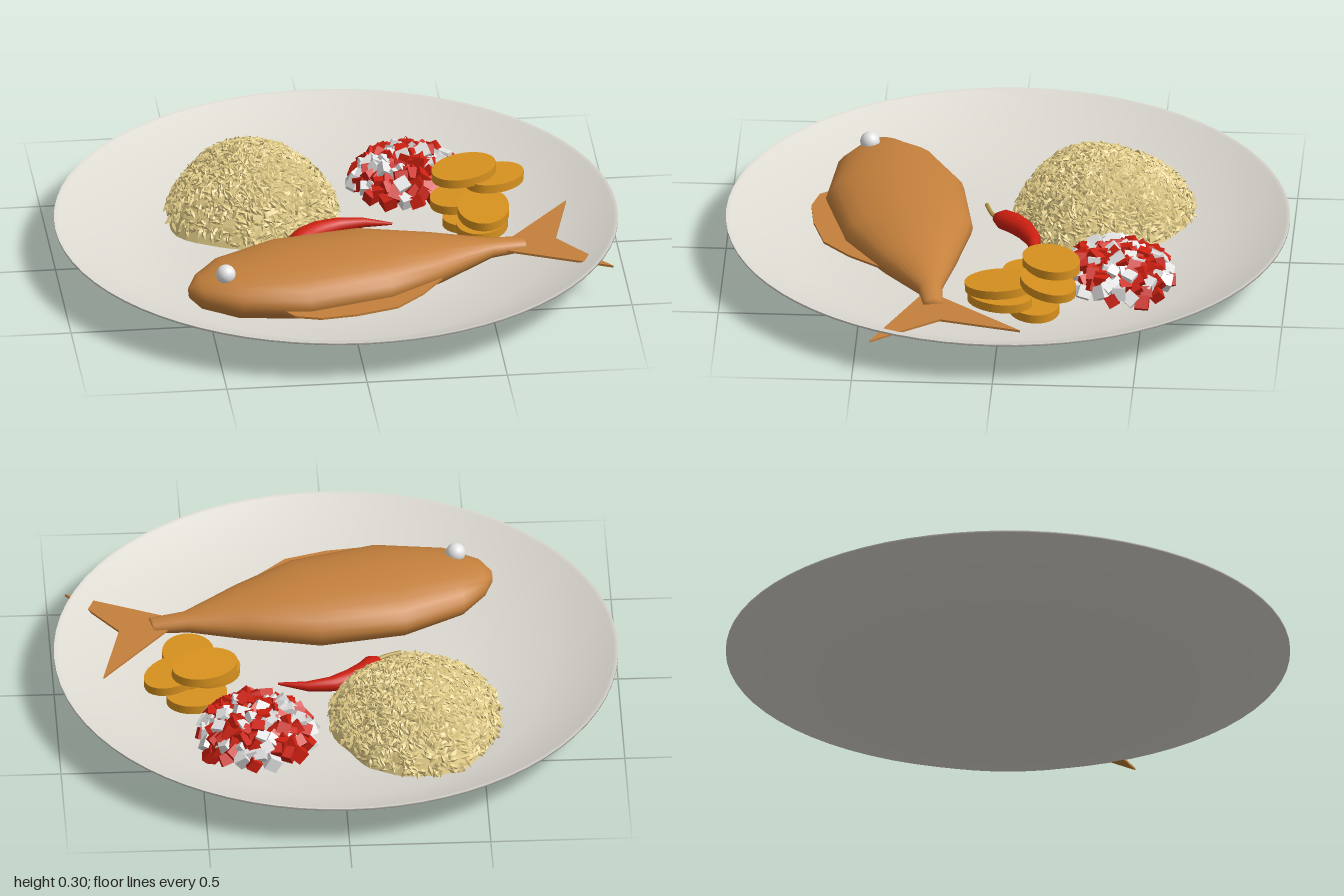
import * as THREE from 'three';
import { mergeGeometries } from 'three/addons/utils/BufferGeometryUtils.js';

const makeMat = (name, color, extra = {}) => {
  const m = new THREE.MeshStandardMaterial({ color, ...extra });
  m.name = name;
  return m;
};

function seeded(seed) {
  return () => {
    seed = (seed * 1664525 + 1013904223) % 4294967296;
    return seed / 4294967296;
  };
}

// Skin over elliptical sections [ax, az, bx, bz, halfHeight] running roughly along +x
function loft(sections, y, sides = 18) {
  const pos = [], idx = [];
  const mid = ([ax, az, bx, bz]) => [(ax + bx) / 2, (az + bz) / 2];
  const point = s => [...mid(s), ...mid(s), 0];
  const rings = [point(sections[0]), ...sections, point(sections.at(-1))]
    .map(s => s.length === 5 ? s : [s[0], s[1], s[2], s[3], 0]);
  rings.forEach(([ax, az, bx, bz, h], i) => {
    for (let j = 0; j < sides; j++) {
      const t = j / sides * Math.PI * 2, c = Math.cos(t) / 2;
      pos.push((ax + bx) / 2 + (bx - ax) * c, y + h * Math.sin(t), (az + bz) / 2 + (bz - az) * c);
      if (i === rings.length - 1) continue;
      const k = (j + 1) % sides, a = i * sides, b = a + sides;
      idx.push(a + j, b + j, a + k, b + j, b + k, a + k);
    }
  });
  const g = new THREE.BufferGeometry();
  g.setAttribute('position', new THREE.Float32BufferAttribute(pos, 3));
  g.setIndex(idx);
  g.computeVertexNormals();
  return g;
}

// Thin horizontal plate from an (x, z) outline
function flatPlate(points, y) {
  const shape = new THREE.Shape(points.map(p => new THREE.Vector2(...p)));
  const g = new THREE.ExtrudeGeometry(shape, { depth: 0.008, bevelEnabled: false });
  return g.rotateX(Math.PI / 2).translate(0, y + 0.004, 0);
}

// Rice mound surface: uneven outline, rounded dome
const OUTLINE = [0.29, 0.32, 0.29, 0.32, 0.33, 0.36, 0.32, 0.31, 0.34, 0.32, 0.29, 0.265];
function moundPoint(u, rho) {
  const s = ((u % 1) + 1) % 1 * 12, i = Math.floor(s), f = (1 - Math.cos((s - i) * Math.PI)) / 2;
  const r = (OUTLINE[i % 12] * (1 - f) + OUTLINE[(i + 1) % 12] * f) * 0.97 * rho;
  const a = u * Math.PI * 2;
  return new THREE.Vector3(-0.25 + r * Math.cos(a),
    0.03 + 0.245 * Math.pow(Math.max(0, 1 - rho * rho), 0.7), -0.33 + 0.03 * (1 - rho) + r * Math.sin(a));
}

export function createModel() {
  const model = new THREE.Group();
  model.name = 'dinnerPlate';
  const plateMat = makeMat('plate white', 0xdddad2);
  const fishMat = makeMat('fried fish brown', 0xc4803c);
  const riceMat = makeMat('rice cream', 0xe2cd88, { flatShading: true, side: THREE.DoubleSide });
  const redMat = makeMat('red', 0xcc1f10);
  const whiteMat = makeMat('onion white', 0xe4e4e4);
  const chipMat = makeMat('plantain orange', 0xd8921f);
  const stemMat = makeMat('stem tan', 0xb89a4a);
  const add = (name, geo, mat, parent = model) => {
    const m = new THREE.Mesh(geo, mat);
    m.name = name;
    parent.add(m);
    return m;
  };
  const group = name => {
    const g = new THREE.Group();
    g.name = name;
    model.add(g);
    return g;
  };

  // Plate: outer shell, inner dish
  const lathe = pts => new THREE.LatheGeometry(pts.map(p => new THREE.Vector2(...p)), 72);
  const plate = group('plate');
  add('plateOutside', lathe([[0, 0], [0.45, 0], [0.75, 0.03], [1, 0.15], [1, 0.157]]), plateMat, plate);
  add('plateInside', lathe([[1, 0.157], [0.985, 0.155], [0.75, 0.045], [0.45, 0.02], [0, 0.02]]), plateMat, plate);

  // Fish lying on its side
  const fish = group('fish');
  add('fishBody', loft([
    [-0.578, 0.46, -0.575, 0.5, 0.02], [-0.55, 0.39, -0.53, 0.56, 0.055],
    [-0.47, 0.285, -0.4, 0.63, 0.085], [-0.26, 0.17, -0.16, 0.655, 0.105],
    [0.04, 0.122, 0.14, 0.57, 0.105], [0.3, 0.165, 0.34, 0.435, 0.075],
    [0.51, 0.205, 0.53, 0.29, 0.035], [0.635, 0.195, 0.65, 0.265, 0.025]], 0.127, 24), fishMat, fish);
  add('tailFin', flatPlate([[0.57, 0.22], [0.83, -0.09], [0.76, 0.2], [0.855, 0.33], [0.94, 0.44],
    [0.57, 0.275]], 0.125), fishMat, fish);
  add('bellyFin', flatPlate([[-0.28, 0.6], [-0.22, 0.68], [-0.13, 0.705], [0, 0.69], [0.15, 0.645],
    [0.25, 0.55], [0.33, 0.44], [0, 0.45]], 0.11), fishMat, fish);
  add('fishEye', new THREE.SphereGeometry(0.035, 20, 14), whiteMat, fish).position.set(-0.45, 0.21, 0.515);

  // Rice: dome covered in grains
  const rice = group('rice');
  const dome = new THREE.PlaneGeometry(1, 1, 48, 12);
  const dp = dome.attributes.position;
  for (let i = 0; i < dp.count; i++) {
    const p = moundPoint(dp.getX(i) + 0.5, dp.getY(i) + 0.5);
    dp.setXYZ(i, p.x, p.y, p.z);
  }
  dome.computeVertexNormals();
  add('riceMound', dome, riceMat, rice);
  const rnd = seeded(7);
  const grains = [], up = new THREE.Vector3(0, 1, 0);
  for (let i = 0; i < 2600; i++) {
    const u = rnd(), rho = Math.sqrt(rnd()) * 0.99;
    const p = moundPoint(u, rho);
    const du = moundPoint(u + 0.01, rho).sub(p), dr = moundPoint(u, rho - 0.01).sub(p);
    const n = du.cross(dr).normalize();
    if (n.y < 0) n.negate();
    const q = new THREE.Quaternion().setFromUnitVectors(up, n)
      .multiply(new THREE.Quaternion().setFromEuler(
        new THREE.Euler((rnd() - 0.5) * 0.9, rnd() * 6.28, (rnd() - 0.5) * 0.9)));
    const size = new THREE.Vector3(0.02 + rnd() * 0.006, 0.008, 0.009);
    grains.push(new THREE.OctahedronGeometry(1)
      .applyMatrix4(new THREE.Matrix4().compose(p.addScaledVector(n, rnd() * 0.012), q, size)));
  }
  add('riceGrains', mergeGeometries(grains), riceMat, rice);

  // Diced salsa: heap of small tumbled cubes
  const salsa = group('salsa');
  const cubes = { red: [], white: [] };
  for (let i = 0; i < 150; i++) {
    const a = i * 2.39996, rho = Math.sqrt((i + 0.5) / 150), r = 0.195 * rho;
    const s = 0.038 + rnd() * 0.012;
    const top = 0.05 + 0.11 * Math.sqrt(1 - rho * rho);
    const g = new THREE.BoxGeometry(s, s, s)
      .rotateX(rnd() * 3).rotateY(rnd() * 3).rotateZ(rnd() * 3)
      .translate(0.3 + r * Math.cos(a), top + rnd() * 0.025, -0.4 + r * Math.sin(a));
    (rnd() < 0.62 ? cubes.red : cubes.white).push(g);
  }
  add('tomatoCubes', mergeGeometries(cubes.red), redMat, salsa);
  add('onionCubes', mergeGeometries(cubes.white), whiteMat, salsa);

  // Fried plantain slices: [x, y, z, half length, half width, turn, tilt]
  const chips = group('plantainSlices');
  [[0.475, 0.222, -0.18, 0.125, 0.095, 0.55, 0.03], [0.585, 0.19, -0.175, 0.12, 0.085, 0.7, -0.05],
    [0.525, 0.155, 0, 0.125, 0.092, 1.5, 0.08], [0.45, 0.155, -0.1, 0.11, 0.09, 0.5, 0.05],
    [0.52, 0.1, 0.0, 0.12, 0.09, 1.2, 0], [0.5, 0.06, -0.12, 0.11, 0.09, 0.3, 0]]
    .forEach(([x, y, z, a, b, turn, tilt]) => {
      const c = add('plantainSlice', new THREE.CylinderGeometry(1, 1, 0.032, 28), chipMat, chips);
      c.scale.set(a, 1, b);
      c.rotation.set(0, turn, tilt);
      c.position.set(x, y, z);
    });

  // Chili pepper with stem
  const chili = group('chili');
  add('chiliBody', loft([
    [-0.165, 0.035, -0.135, 0.062, 0.018], [-0.17, 0.005, -0.1, 0.045, 0.034],
    [-0.14, -0.04, -0.075, 0.01, 0.036], [-0.08, -0.085, -0.03, -0.03, 0.034],
    [0, -0.115, 0.035, -0.068, 0.027], [0.1, -0.12, 0.115, -0.085, 0.018],
    [0.21, -0.085, 0.208, -0.075, 0.004]], 0.075), redMat, chili);
  const stemCurve = new THREE.CatmullRomCurve3([
    new THREE.Vector3(-0.145, 0.075, 0.05), new THREE.Vector3(-0.18, 0.078, 0.07), new THREE.Vector3(-0.235, 0.08, 0.088)]);
  add('chiliStem', new THREE.TubeGeometry(stemCurve, 8, 0.008, 8), stemMat, chili);

  return model;
}
